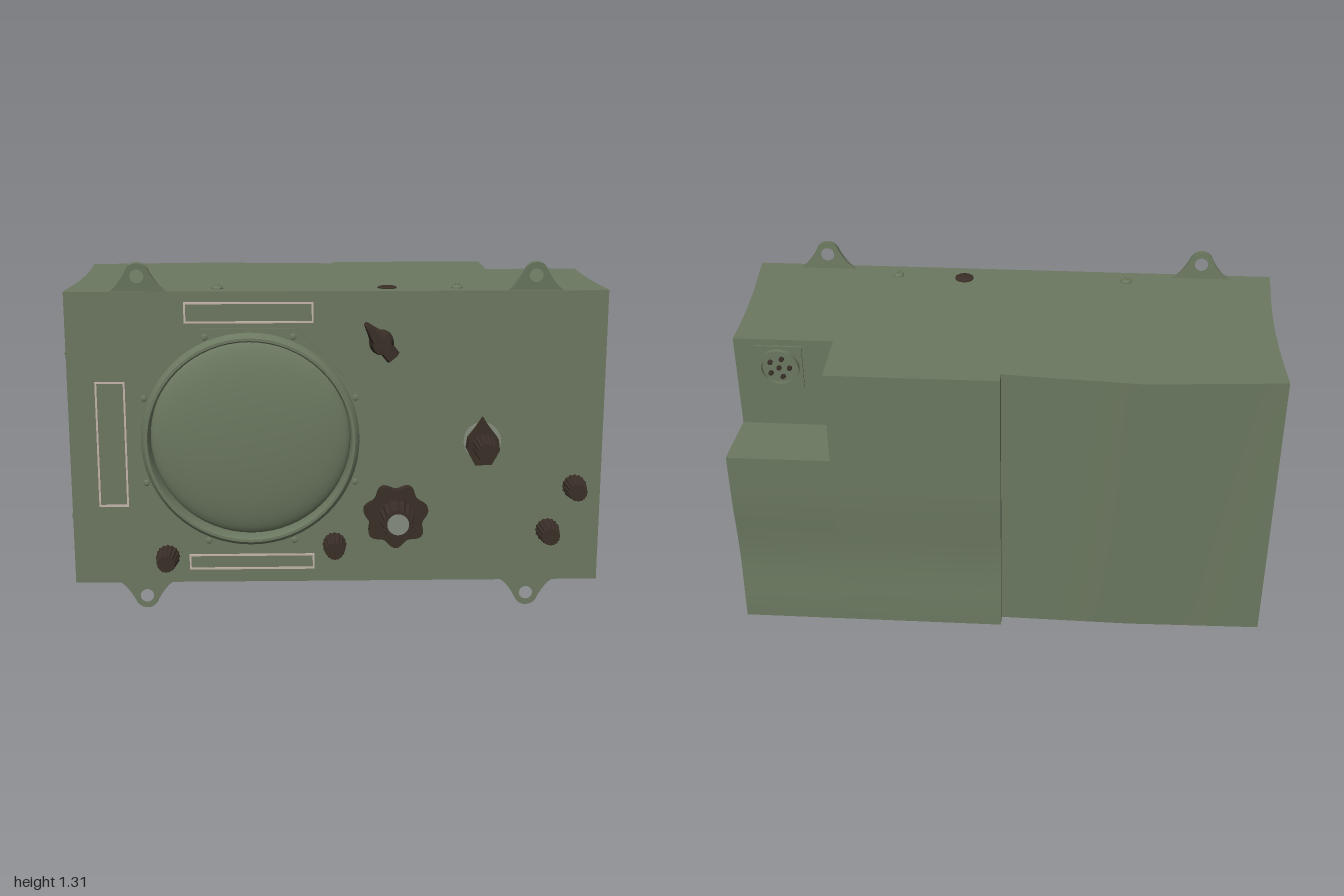
import * as THREE from 'three';
import { toCreasedNormals } from 'three/addons/utils/BufferGeometryUtils.js';

const paint = (name, color) => { const m = new THREE.MeshStandardMaterial({ color }); m.name = name; return m; };

export function createModel() {
  const root = new THREE.Group();
  root.name = 'fieldRadioSet';
  const green = paint('olive green', 0x6b7860);
  const brown = paint('dark brown', 0x3a2f28);
  const pale = paint('pale pink grey', 0xc4b4ac);
  const metal = paint('dull grey', 0x858b7d);

  const add = (name, geo, mat, x = 0, y = 0, z = 0, parent = root) => {
    const m = new THREE.Mesh(geo, mat);
    m.name = name;
    m.position.set(x, y, z);
    parent.add(m);
    return m;
  };
  const V = (x, y) => new THREE.Vector2(x, y);
  const extrude = (shape, depth) =>
    new THREE.ExtrudeGeometry(shape, { depth, bevelEnabled: false, curveSegments: 32 });
  // turned part whose axis points along +z
  const turned = (pts, seg = 32) =>
    toCreasedNormals(new THREE.LatheGeometry(pts.map(p => V(...p)), seg).rotateX(Math.PI / 2), 0.6);
  const circleHole = (x, y, r) => new THREE.Path().absarc(x, y, r, 0, Math.PI * 2, true);
  const rect = (w, h, C = THREE.Shape) =>
    new C([V(-w / 2, -h / 2), V(w / 2, -h / 2), V(w / 2, h / 2), V(-w / 2, h / 2)]);

  // --- case: blocks with softly dented sides and back ---
  const block = (name, x0, x1, y0, y1, z0, z1) => {
    const g = new THREE.BoxGeometry(x1 - x0, y1 - y0, z1 - z0, 12, 16, 12);
    g.translate((x0 + x1) / 2, (y0 + y1) / 2, (z0 + z1) / 2);
    const p = g.attributes.position;
    for (let i = 0; i < p.count; i++) {
      let x = p.getX(i), y = p.getY(i), z = p.getZ(i);
      const side = Math.abs(x) > 0.98, back = z < -0.44;
      if (side) x -= Math.sign(x) * 0.018 * Math.sin(Math.PI * Math.min(1, Math.max(0, (0.29 - z) / 0.76)));
      if (back && x1 <= 0) {
        const t = (y - 0.105) / 1.105;
        z -= 0.036 * Math.max(0, 1 - Math.abs(x + 0.49) / 0.49) * (0.25 + 0.75 * t);
      } else if (back && y < 0.7) {
        z += 0.014 * Math.sin(Math.PI * (y - 0.105) / 0.595) ** 2;
      }
      p.setXYZ(i, x, y, z);
    }
    g.computeVertexNormals();
    add(name, g, green);
  };
  block('caseRightHalf', -0.985, 0, 0.105, 1.21, -0.45, 0.29);
  block('caseLeftMiddle', 0, 0.61, 0.105, 1.21, -0.495, 0.29);
  block('caseLeftLower', 0.61, 0.985, 0.105, 0.85, -0.495, 0.29);
  block('caseLeftUpper', 0.61, 0.985, 0.85, 1.21, -0.265, 0.29);

  // --- front panel with the round opening ---
  const cx = -0.32, cy = 0.66;
  const panel = rect(1.97, 1.105);
  panel.holes.push(circleHole(cx, cy - 0.6575, 0.372));
  add('frontPanel', extrude(panel, 0.03), green, 0, 0.6575, 0.29);

  // --- round cover: octagonal flange, rim and dome ---
  const cover = new THREE.Group();
  cover.name = 'roundCover';
  cover.position.set(cx, cy, 0);
  root.add(cover);
  const at = (r, k) => V(r * Math.cos((k + 0.5) * Math.PI / 4), r * Math.sin((k + 0.5) * Math.PI / 4));
  const octagon = new THREE.Shape([0, 1, 2, 3, 4, 5, 6, 7].map(k => at(0.449, k)));
  octagon.holes.push(circleHole(0, 0, 0.375));
  add('flange', extrude(octagon, 0.013), green, 0, 0, 0.32, cover);
  add('rim', turned([[0.403, 0.33], [0.398, 0.35], [0.386, 0.362], [0.376, 0.362], [0.37, 0.35], [0.37, 0.29]], 64), green, 0, 0, 0, cover);
  const dome = [];
  for (let i = 0; i <= 16; i++) {
    const a = (1 - i / 16) * Math.PI / 2;
    dome.push([0.37 * Math.sin(a), 0.292 + 0.068 * Math.cos(a)]);
  }
  add('dome', turned(dome, 64), green, 0, 0, 0, cover);
  const boltGeo = turned([[0.012, 0], [0.012, 0.004], [0.007, 0.008], [0, 0.009]], 12);
  for (let k = 0; k < 8; k++) { const p = at(0.418, k); add('flangeScrew', boltGeo, green, p.x, p.y, 0.333, cover); }

  // --- outlined label frames ---
  for (const [x, y, w, h] of [[-0.32, 1.133, 0.47, 0.077], [-0.83, 0.642, 0.11, 0.475], [-0.32, 0.185, 0.47, 0.06]]) {
    const frame = rect(w, h);
    frame.holes.push(rect(w - 0.014, h - 0.014, THREE.Path));
    add('labelFrame', extrude(frame, 0.005), pale, x, y, 0.32);
  }

  // --- mounting ears ---
  const ear = new THREE.Shape();
  ear.moveTo(-0.11, -0.01);
  ear.lineTo(-0.11, 0);
  ear.quadraticCurveTo(-0.08, 0.005, -0.042, 0.075);
  ear.absarc(0, 0.06, 0.045, Math.PI * 0.89, Math.PI * 0.11, true);
  ear.quadraticCurveTo(0.08, 0.005, 0.11, 0);
  ear.lineTo(0.11, -0.01);
  ear.holes.push(circleHole(0, 0.057, 0.025));
  const earGeo = extrude(ear, 0.02);
  for (const x of [-0.72, 0.72]) {
    add('upperEar', earGeo, green, x, 1.21, 0.29).rotation.x = 0.1;
    add('lowerEar', earGeo, green, x, 0.105, 0.29).rotation.z = Math.PI;
  }

  // --- case screws, cross-slotted, on all four edges ---
  const headGeo = turned([[0.021, -0.02], [0.021, 0.004], [0.016, 0.011], [0, 0.014]], 16);
  const slotGeo = new THREE.BoxGeometry(0.022, 0.005, 0.004);
  const screw = (x, y, z, rx, ry) => {
    const g = new THREE.Group();
    g.name = 'caseScrew';
    g.position.set(x, y, z);
    g.rotation.set(rx, ry, 0);
    add('screwHead', headGeo, green, 0, 0, 0, g);
    for (const a of [0.6, 0.6 + Math.PI / 2]) add('screwCross', slotGeo, green, 0, 0, 0.013, g).rotation.z = a;
    root.add(g);
  };
  for (const x of [-0.435, 0.44]) {
    screw(x, 1.21, 0.25, -Math.PI / 2, 0);
    screw(x, 0.105, 0.25, Math.PI / 2, 0);
  }
  for (const y of [0.35, 0.97]) {
    screw(0.984, y, 0.25, 0, Math.PI / 2);
    screw(-0.984, y, 0.25, 0, -Math.PI / 2);
  }
  add('topPlug', turned([[0.035, -0.01], [0.035, 0.003], [0.028, 0.006], [0, 0.006]], 24), brown, 0.185, 1.21, 0.24).rotation.x = -Math.PI / 2;

  // --- fluted knobs ---
  const fluted = (r0, r1, h) => {
    const n = 32, g = new THREE.CylinderGeometry(r1, r0, h, n).translate(0, h / 2, 0);
    const p = g.attributes.position;
    for (let i = 0; i < p.count; i++) {
      const a = Math.atan2(p.getX(i), p.getZ(i));
      const s = Math.round(a / (Math.PI * 2 / n)) % 2 ? 0.9 : 1;
      p.setX(i, p.getX(i) * s);
      p.setZ(i, p.getZ(i) * s);
    }
    const f = g.rotateX(Math.PI / 2).toNonIndexed();
    f.computeVertexNormals();
    return f;
  };
  const smallKnob = fluted(0.046, 0.034, 0.09);
  const shaft = turned([[0.025, 0], [0.025, 0.02]], 16);
  for (const [x, y] of [[-0.635, 0.21], [-0.01, 0.255], [0.79, 0.305], [0.885, 0.475]]) {
    add('smallKnob', smallKnob, brown, x, y, 0.328);
    add('knobShaft', shaft, brown, x, y, 0.318);
  }

  // --- large lobed tuning knob ---
  const lobes = [];
  for (let i = 0; i < 84; i++) {
    const a = i / 84 * Math.PI * 2, r = 0.112 + 0.011 * Math.cos(7 * (a - Math.PI / 2) + Math.PI);
    lobes.push(V(r * Math.cos(a), r * Math.sin(a)));
  }
  add('tuningKnobSkirt', toCreasedNormals(extrude(new THREE.Shape(lobes), 0.034), 0.6), brown, 0.218, 0.37, 0.328);
  add('tuningKnobHub', turned([[0.06, 0], [0.06, 0.02]], 24), brown, 0.218, 0.37, 0.315);
  add('tuningKnob', fluted(0.068, 0.057, 0.1), brown, 0.22, 0.37, 0.357);
  add('tuningKnobCap', turned([[0.04, 0], [0.04, 0.003], [0, 0.003]], 24), metal, 0.22, 0.37, 0.456);

  // --- selector with dial, pointer and tall knob ---
  add('selectorDial', turned([[0.07, 0], [0.07, 0.012], [0, 0.014]], 32), metal, 0.537, 0.65, 0.32);
  const pointer = new THREE.Shape([V(0, 0.097), V(0.024, 0.06), V(0.055, 0.02), V(0.06, -0.02), V(0.03, -0.075),
    V(-0.03, -0.075), V(-0.06, -0.02), V(-0.055, 0.02), V(-0.024, 0.06)]);
  add('selectorPointer', extrude(pointer, 0.055), brown, 0.535, 0.65, 0.335);
  add('selectorKnob', fluted(0.046, 0.036, 0.112), brown, 0.535, 0.65, 0.388);

  // --- tapered pointer switch ---
  const sw = new THREE.Group();
  sw.name = 'pointerSwitch';
  sw.position.set(0.16, 1.025, 0.32);
  sw.rotation.z = 0.68;
  root.add(sw);
  add('switchBase', turned([[0.045, 0], [0.045, 0.03], [0.035, 0.05], [0.033, 0.085], [0, 0.09]], 24), brown, 0, 0, 0, sw);
  const grip = new THREE.Shape([V(-0.028, -0.07), V(0.028, -0.07), V(0.03, 0.03), V(0.006, 0.095), V(-0.006, 0.095), V(-0.03, 0.03)]);
  const gripGeo = extrude(grip, 0.065);
  const gp = gripGeo.attributes.position;
  for (let i = 0; i < gp.count; i++) if (gp.getZ(i) > 0.03) gp.setXY(i, gp.getX(i) * 0.6, gp.getY(i) * 0.9);
  gripGeo.computeVertexNormals();
  add('switchGrip', gripGeo, brown, 0, 0, 0.025, sw);

  // --- rear socket in the corner recess ---
  const socket = new THREE.Group();
  socket.name = 'rearSocket';
  socket.position.set(0.812, 1.1, -0.265);
  socket.rotation.y = Math.PI;
  root.add(socket);
  add('socketPlate', new THREE.BoxGeometry(0.17, 0.17, 0.008), green, 0, 0, 0.002, socket);
  add('socketRing', turned([[0.074, 0], [0.074, 0.022], [0.062, 0.022], [0.062, 0.008], [0, 0.008]], 32), green, 0, 0, 0, socket);
  const pin = turned([[0.009, 0], [0.009, 0.012], [0, 0.014]], 10);
  for (let k = 0; k < 6; k++) {
    const r = k ? 0.038 : 0, a = k * Math.PI * 2 / 5;
    add('socketPin', pin, brown, r * Math.cos(a), r * Math.sin(a), 0.006, socket);
  }
  return root;
}
